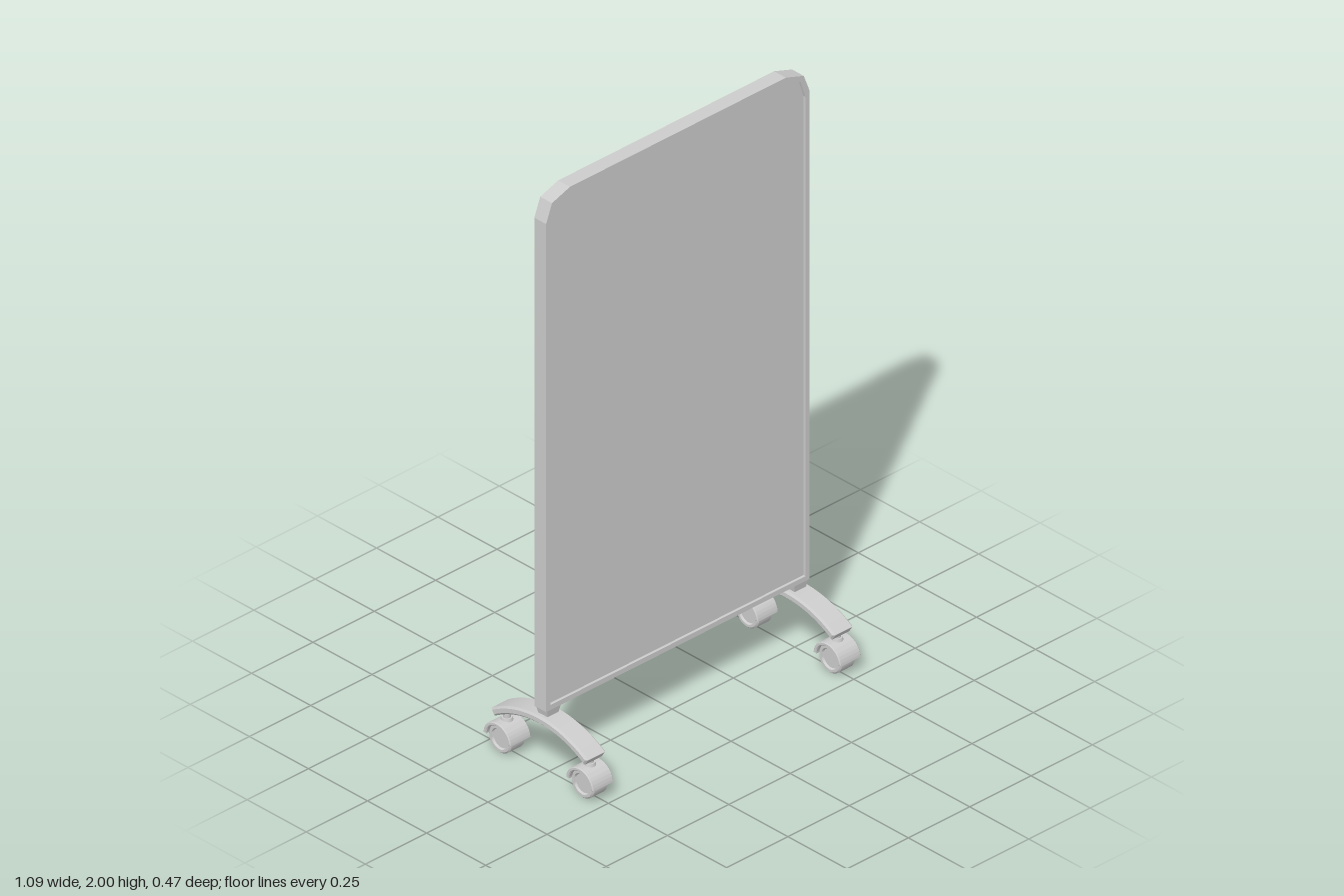
import * as THREE from 'three';
import { toCreasedNormals } from 'three/addons/utils/BufferGeometryUtils.js';

const material = new THREE.MeshStandardMaterial({ color: 0xcccccc });

function addMesh(parent, name, geometry, x = 0, y = 0, z = 0) {
  const mesh = new THREE.Mesh(geometry, material);
  mesh.name = name;
  mesh.position.set(x, y, z);
  parent.add(mesh);
  return mesh;
}

// Panel outline: square bottom corners, two-facet upper corners
function panelOutline(inset) {
  const half = 0.537 - inset, top = 2 - inset, bottom = 0.23 + inset;
  const right = [
    [half, bottom], [half, 1.913 - inset * 0.8],
    [0.513 - inset * 0.75, 1.975 - inset * 0.9], [0.44, top],
  ];
  const left = right.map(([x, y]) => [-x, y]).reverse();
  return [...right, ...left].map(([x, y]) => new THREE.Vector2(x, y));
}

// Band between two arcs about the origin, from angle a0 to a1
function arcBand(outer, inner, a0, a1) {
  const shape = new THREE.Shape();
  shape.absarc(0, 0, outer, a0, a1, false);
  shape.absarc(0, 0, inner, a1, a0, true);
  shape.closePath();
  return shape;
}

// Extrude a side profile (z, y) across x with bevelled edges
function sideExtrude(shape, width, bevel, curveSegments) {
  const geometry = new THREE.ExtrudeGeometry(shape, {
    depth: width - 2 * bevel, curveSegments, bevelEnabled: true,
    bevelThickness: bevel, bevelSize: bevel, bevelOffset: -bevel, bevelSegments: 1,
  });
  geometry.translate(0, 0, -width / 2 + bevel);
  geometry.rotateY(Math.PI / 2);
  return toCreasedNormals(geometry, 0.5);
}

function createCaster() {
  const caster = new THREE.Group();
  caster.name = 'caster';
  const axleY = 0.048;

  // Wheel with a shallow hub recess on both sides
  const profile = [
    [0, -0.024], [0.032, -0.024], [0.035, -0.031], [0.043, -0.031], [0.048, -0.026],
    [0.048, 0.026], [0.043, 0.031], [0.035, 0.031], [0.032, 0.024], [0, 0.024],
  ].map(([r, h]) => new THREE.Vector2(r, h));
  const wheel = toCreasedNormals(new THREE.LatheGeometry(profile, 24), 0.5);
  wheel.rotateZ(Math.PI / 2);
  addMesh(caster, 'wheel', wheel, 0, axleY, 0);

  // Hood over the upper half of the wheel
  const hood = sideExtrude(arcBand(0.058, 0.046, 0.05, Math.PI - 0.05), 0.085, 0.003, 16);
  addMesh(caster, 'wheelHood', hood, 0, axleY, 0);

  // Swivel stem and its collar
  addMesh(caster, 'stem', new THREE.CylinderGeometry(0.012, 0.012, 0.05, 16), 0, 0.123, 0);
  addMesh(caster, 'stemCollar', new THREE.CylinderGeometry(0.017, 0.02, 0.012, 16), 0, 0.107, 0);
  return caster;
}

function createFoot() {
  const foot = new THREE.Group();
  foot.name = 'foot';

  // Arched arm running front to back
  const radius = 0.37, sweep = 0.586;
  const arm = sideExtrude(
    arcBand(radius, radius - 0.026, Math.PI / 2 - sweep, Math.PI / 2 + sweep), 0.08, 0.006, 12);
  addMesh(foot, 'archedArm', arm, 0, 0.206 - radius, 0);

  // Tapered post joining arm and panel
  const post = new THREE.CylinderGeometry(0.025 * Math.SQRT2, 0.017 * Math.SQRT2, 0.04, 4, 1);
  post.rotateY(Math.PI / 4);
  post.scale(1.15, 1, 1);
  addMesh(foot, 'post', toCreasedNormals(post, 0.5), 0, 0.213, 0);

  for (const side of [-1, 1]) {
    const caster = createCaster();
    caster.position.z = side * 0.175;
    foot.add(caster);
  }
  return foot;
}

export function createModel() {
  const model = new THREE.Group();
  model.name = 'mobilePartition';

  // Frame around the panel
  const frameShape = new THREE.Shape(panelOutline(0));
  frameShape.holes.push(new THREE.Path(panelOutline(0.017)));
  const frame = new THREE.ExtrudeGeometry(frameShape, { depth: 0.05, bevelEnabled: false });
  addMesh(model, 'frame', frame, 0, 0, -0.025);

  // Recessed board
  const board = new THREE.ExtrudeGeometry(
    new THREE.Shape(panelOutline(0.016)), { depth: 0.032, bevelEnabled: false });
  addMesh(model, 'board', board, 0, 0, -0.016);

  // Left and right feet
  for (const side of [-1, 1]) {
    const foot = createFoot();
    foot.name = side > 0 ? 'leftFoot' : 'rightFoot';
    foot.position.x = side * 0.504;
    model.add(foot);
  }
  return model;
}
